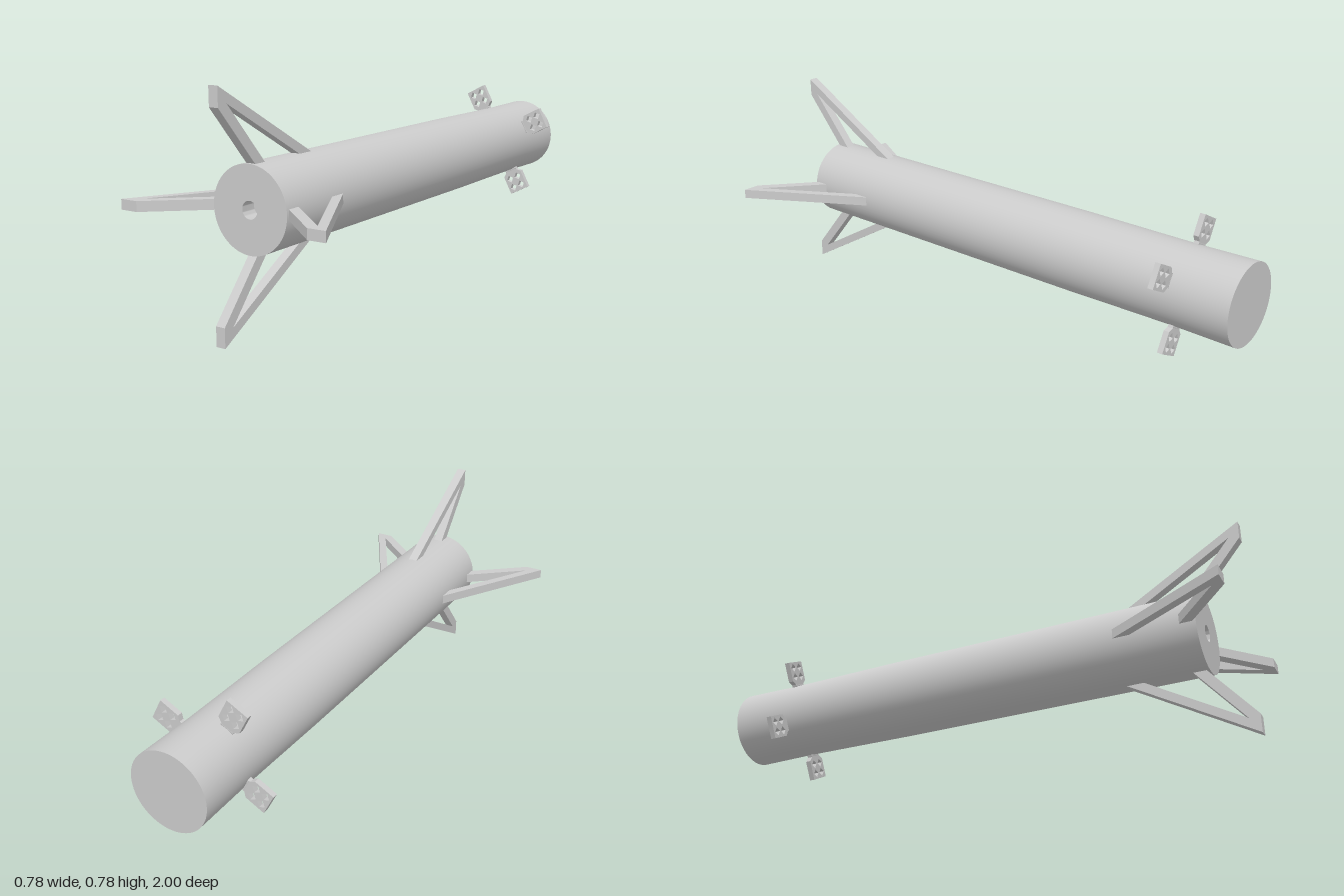
import * as THREE from 'three';
import { toCreasedNormals } from 'three/addons/utils/BufferGeometryUtils.js';

const AXIS_Y = 0.391;
const BODY_R = 0.142;
const grey = new THREE.MeshStandardMaterial({ color: 0xcccccc });

const points = (list) => list.map(([x, y]) => new THREE.Vector2(x, y));

function addMesh(parent, geometry, name) {
  const mesh = new THREE.Mesh(geometry, grey);
  mesh.name = name;
  parent.add(mesh);
  return mesh;
}

// Long tube with a very slight waist near the rear and a nozzle hole in the front
function bodyGeometry() {
  const profile = points([
    [0, -1], [BODY_R, -1], [0.141, -0.92], [0.139, -0.78], [0.14, -0.6], [BODY_R, -0.35],
    [BODY_R, 0.58], [BODY_R, 0.855], [0.029, 0.855], [0.029, 0.8], [0, 0.8],
  ]);
  const lathe = new THREE.LatheGeometry(profile, 64).rotateX(Math.PI / 2);
  return toCreasedNormals(lathe, Math.PI / 6);
}

// A-frame leg lying in the radius / z plane
function legGeometry() {
  const width = 0.034;
  const shape = new THREE.Shape(points([
    [0.13, 0.55], [0.389, 1], [0.325, 1], [0.13, 0.835],
    [0.13, 0.79], [0.334, 0.963], [0.13, 0.61],
  ]));
  return new THREE.ExtrudeGeometry(shape, { depth: width, bevelEnabled: false })
    .translate(0, 0, -width / 2)
    .rotateX(Math.PI / 2);
}

// Grid fin plate with chamfered root and four diamond openings
function finGeometry() {
  const thickness = 0.02;
  const shape = new THREE.Shape(points([
    [0.144, -0.022], [0.16, -0.042], [0.235, -0.042],
    [0.235, 0.042], [0.16, 0.042], [0.144, 0.022],
  ]));
  const d = 0.0155;
  for (const r of [0.176, 0.213]) {
    for (const t of [-0.019, 0.019]) {
      shape.holes.push(new THREE.Path(points([[r - d, t], [r, t + d], [r + d, t], [r, t - d]])));
    }
  }
  return new THREE.ExtrudeGeometry(shape, { depth: thickness, bevelEnabled: false })
    .translate(0, 0, -0.785);
}

export function createModel() {
  const model = new THREE.Group();
  model.name = 'rocketBooster';
  const rocket = new THREE.Group();
  rocket.name = 'rocket';
  rocket.position.y = AXIS_Y;
  model.add(rocket);

  addMesh(rocket, bodyGeometry(), 'body');

  const leg = legGeometry();
  const fin = finGeometry();
  // Hinge bar across the root of each fin
  const hinge = new THREE.CylinderGeometry(0.01, 0.01, 0.05, 16).translate(0.141, 0, -0.775);

  for (let i = 0; i < 4; i++) {
    const turn = (i * Math.PI) / 2;
    addMesh(rocket, leg, 'landingLeg').rotation.z = turn;

    const finGroup = new THREE.Group();
    finGroup.name = 'gridFin';
    finGroup.rotation.z = turn + THREE.MathUtils.degToRad(27.5);
    addMesh(finGroup, fin, 'finPlate');
    addMesh(finGroup, hinge, 'finHinge');
    rocket.add(finGroup);
  }
  return model;
}
